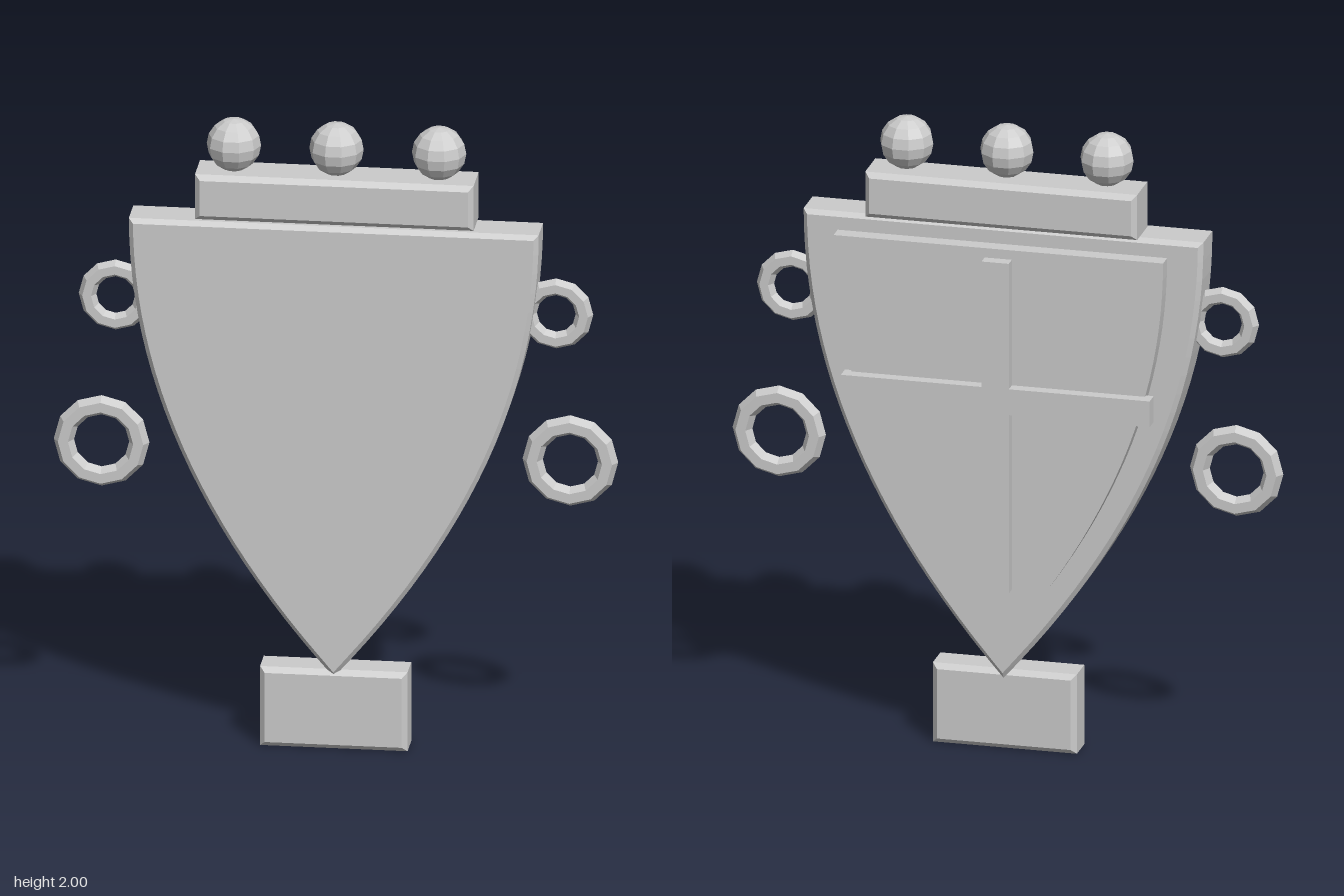
import * as THREE from 'three';

const material = new THREE.MeshStandardMaterial({ color: 0xcccccc, flatShading: true });

// Heater shield outline: flat top, sides curving down to a point
function shieldShape(half, top, belly, tip) {
  const s = new THREE.Shape();
  s.moveTo(-half, top);
  s.quadraticCurveTo(-half, belly, 0, tip);
  s.quadraticCurveTo(half, belly, half, top);
  s.closePath();
  return s;
}

function rectShape(half, y0, y1) {
  const s = new THREE.Shape();
  s.moveTo(-half, y0);
  s.lineTo(half, y0);
  s.lineTo(half, y1);
  s.lineTo(-half, y1);
  s.closePath();
  return s;
}

// Slab between z0 and z1 with an optional single chamfer inside the outline
function slab(shape, z0, z1, chamfer = 0) {
  const geo = new THREE.ExtrudeGeometry(shape, {
    depth: z1 - z0 - 2 * chamfer,
    bevelEnabled: chamfer > 0,
    bevelSize: chamfer,
    bevelThickness: chamfer,
    bevelOffset: -chamfer,
    bevelSegments: 1,
    curveSegments: 24,
  });
  return geo.translate(0, 0, z0 + chamfer);
}

export function createModel() {
  const model = new THREE.Group();
  model.name = 'shieldEmblem';

  const add = (name, geo, x = 0, y = 0, z = 0) => {
    const mesh = new THREE.Mesh(geo, material);
    mesh.name = name;
    mesh.position.set(x, y, z);
    model.add(mesh);
    return mesh;
  };

  // Shield body and raised back panel
  add('shieldBody', slab(shieldShape(0.625, 1.69, 0.94, 0.235), -0.025, 0.112, 0.014));
  add('backPanel', slab(shieldShape(0.515, 1.635, 0.97, 0.35), -0.075, -0.02));

  // Cross on the back panel
  add('crossUpright', new THREE.BoxGeometry(0.085, 1.06, 0.05), 0, 1.075, -0.088);
  add('crossBar', new THREE.BoxGeometry(0.965, 0.083, 0.05), 0, 1.16, -0.0875);

  // Foot block and crown bar
  add('footBlock', slab(rectShape(0.225, 0.005, 0.26), -0.01, 0.112, 0.016));
  add('crownBar', slab(rectShape(0.425, 1.69, 1.835), -0.055, 0.1, 0.016));

  // Crown balls
  for (const x of [-0.313, 0, 0.313]) {
    add('crownBall', new THREE.SphereGeometry(0.083, 10, 8), x, 1.917, 0.03);
  }

  // Side rings, mirrored
  for (const side of [-1, 1]) {
    add('upperRing', new THREE.TorusGeometry(0.086, 0.027, 6, 12), side * 0.672, 1.42, 0.043);
    add('lowerRing', new THREE.TorusGeometry(0.115, 0.031, 6, 12), side * 0.715, 0.947, 0.043);
  }

  return model;
}
